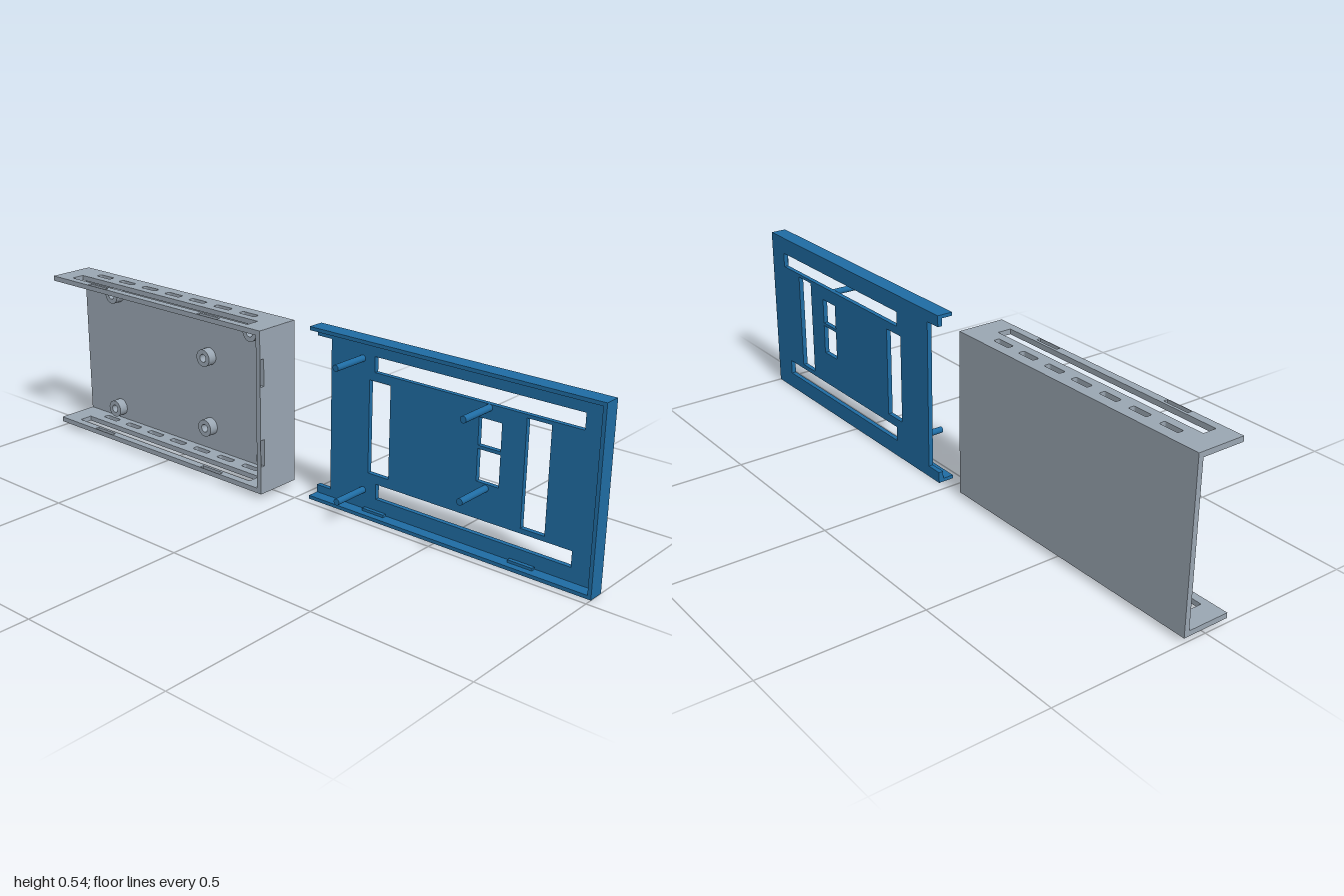
import * as THREE from 'three';

const grey = new THREE.MeshStandardMaterial({ color: 0x9aa6b2 });
const blue = new THREE.MeshStandardMaterial({ color: 0x1f6ca3 });

// Rectangle outline given by its limits, with optional rounded corners
function rect(path, x0, x1, y0, y1, r = 0) {
  if (!r) {
    path.moveTo(x0, y0).lineTo(x1, y0).lineTo(x1, y1).lineTo(x0, y1).closePath();
    return path;
  }
  path.absarc(x1 - r, y0 + r, r, -Math.PI / 2, 0);
  path.absarc(x1 - r, y1 - r, r, 0, Math.PI / 2);
  path.absarc(x0 + r, y1 - r, r, Math.PI / 2, Math.PI);
  path.absarc(x0 + r, y0 + r, r, Math.PI, Math.PI * 1.5);
  path.closePath();
  return path;
}

// Flat panel with rectangular cut-outs, extruded along +z
function panel(shape, holes, depth) {
  for (const h of holes) shape.holes.push(rect(new THREE.Path(), ...h));
  return new THREE.ExtrudeGeometry(shape, { depth, bevelEnabled: false, curveSegments: 4 });
}

function add(parent, name, geometry, material, x = 0, y = 0, z = 0) {
  const mesh = new THREE.Mesh(geometry, material);
  mesh.name = name;
  mesh.position.set(x, y, z);
  parent.add(mesh);
  return mesh;
}

function box(parent, name, material, x0, x1, y0, y1, z0, z1) {
  return add(parent, name, new THREE.BoxGeometry(x1 - x0, y1 - y0, z1 - z0), material,
    (x0 + x1) / 2, (y0 + y1) / 2, (z0 + z1) / 2);
}

function createTray() {
  const tray = new THREE.Group();
  tray.name = 'tray';
  const X0 = -1, X1 = -0.068, Y0 = 0.015, Y1 = 0.528, Z = 0.075, T = 0.016;

  box(tray, 'trayBack', grey, X0, X1 - T, Y0 + T, Y1 - T, -Z, -Z + T);

  // Long walls: a row of vents, one long slot and two latch slots
  const holes = [[-0.933, -0.14, 0.007, 0.05], [-0.83, -0.745, 0.059, 0.073], [-0.33, -0.245, 0.059, 0.073]];
  for (let i = 0; i < 7; i++) {
    const c = -0.863 + i * 0.1087;
    holes.push([c - 0.032, c + 0.032, -0.04, -0.02, 0.005]);
  }
  const wall = panel(rect(new THREE.Shape(), X0, X1, -Z, Z), holes, T).rotateX(Math.PI / 2);
  add(tray, 'trayTopWall', wall, grey, 0, Y1, 0);
  add(tray, 'trayBottomWall', wall, grey, 0, Y0 + T, 0);

  // End wall with two latch slots
  const end = panel(rect(new THREE.Shape(), -Z, Z, Y0 + T, Y1 - T),
    [[0.059, 0.073, 0.103, 0.188], [0.059, 0.073, 0.355, 0.44]], T).rotateY(-Math.PI / 2);
  add(tray, 'trayEndWall', end, grey, X1, 0, 0);

  // Hollow standoffs
  const ring = new THREE.Shape().absarc(0, 0, 0.028, 0, Math.PI * 2);
  ring.holes.push(new THREE.Path().absarc(0, 0, 0.013, 0, Math.PI * 2));
  const standoff = new THREE.ExtrudeGeometry(ring, { depth: 0.03, bevelEnabled: false, curveSegments: 24 });
  for (const [x, y] of [[-0.837, 0.47], [-0.209, 0.47], [-0.412, 0.345], [-0.412, 0.11], [-0.845, 0.07], [-0.158, 0.07]])
    add(tray, 'standoff', standoff, grey, x, y, -Z + T);
  return tray;
}

function createLid() {
  const lid = new THREE.Group();
  lid.name = 'lid';
  const X0 = 0.037, X1 = 1, H = 0.541, ZB = -0.075, ZF = -0.024, T = 0.015, R = 0.011;

  // Plate with a wide notch at its open end
  const outline = new THREE.Shape([
    [X0, 0], [X1, 0], [X1, H], [X0, H], [X0, H - 0.035], [0.09, H - 0.035], [0.09, 0.035], [X0, 0.035],
  ].map(([x, y]) => new THREE.Vector2(x, y)));
  const plate = panel(outline, [
    [0.25, 0.925, 0.44, 0.487], [0.262, 0.915, 0.053, 0.1],
    [0.232, 0.307, 0.128, 0.414], [0.755, 0.83, 0.115, 0.43],
    [0.607, 0.68, 0.315, 0.396], [0.607, 0.68, 0.21, 0.305],
  ], T);
  add(lid, 'lidPlate', plate, blue, 0, 0, ZB);

  // Rim on three sides
  box(lid, 'lidBottomRim', blue, X0, X1, 0, R, ZB + T, ZF);
  box(lid, 'lidTopRim', blue, X0, X1, H - R, H, ZB + T, ZF);
  box(lid, 'lidEndRim', blue, X1 - R, X1, R, H - R, ZB + T, ZF);

  // Latch tabs inside the rim
  for (const [a, b] of [[0.225, 0.303], [0.73, 0.808]]) {
    box(lid, 'latchTab', blue, a, b, R, R + 0.008, -0.057, -0.045);
    box(lid, 'latchTab', blue, a, b, H - R - 0.008, H - R, -0.057, -0.045);
  }
  for (const [a, b] of [[0.107, 0.185], [0.357, 0.435]])
    box(lid, 'latchTab', blue, X1 - R - 0.008, X1 - R, a, b, -0.057, -0.045);

  // Pegs standing on the plate
  const z0 = ZB + T, z1 = 0.061;
  const peg = new THREE.CylinderGeometry(0.01, 0.01, z1 - z0, 24).rotateX(Math.PI / 2);
  for (const [x, y] of [[0.206, 0.473], [0.638, 0.43], [0.638, 0.197], [0.215, 0.07]])
    add(lid, 'peg', peg, blue, x, y, (z0 + z1) / 2);
  return lid;
}

export function createModel() {
  const model = new THREE.Group();
  model.name = 'enclosure';
  model.add(createTray(), createLid());
  return model;
}
